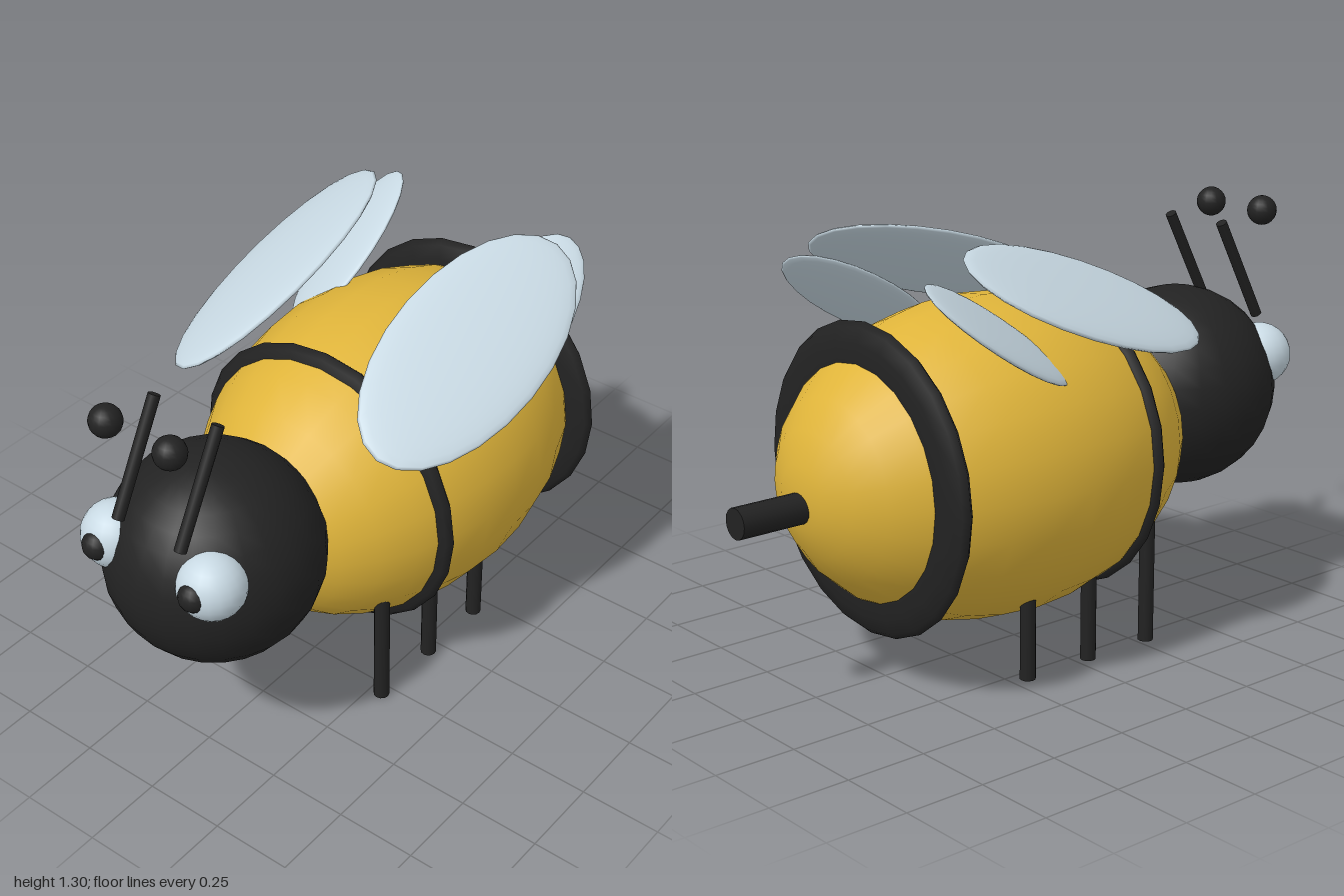
import * as THREE from 'three';

const mat = (name, color) => {
  const m = new THREE.MeshStandardMaterial({ color });
  m.name = name;
  return m;
};

export function createModel() {
  const root = new THREE.Group();
  root.name = 'bee';
  const yellow = mat('honeyYellow', 0xdfb43a);
  const black = mat('softBlack', 0x222222);
  const pale = mat('paleBlue', 0xc8d9e3);

  const add = (name, geometry, material, x, y, z) => {
    const mesh = new THREE.Mesh(geometry, material);
    mesh.name = name;
    mesh.position.set(x, y, z);
    root.add(mesh);
    return mesh;
  };

  // Body: stretched sphere with its poles along x
  const bodyGeo = new THREE.SphereGeometry(1, 24, 16).rotateZ(Math.PI / 2).scale(0.68, 0.485, 0.485);
  add('body', bodyGeo, yellow, 0.115, 0.61, 0);

  // Stripes: rings flattened along the body
  const stripeGeo = new THREE.TorusGeometry(0.345, 0.12, 12, 24).scale(1, 1, 0.29).rotateY(Math.PI / 2);
  for (const x of [-0.177, 0.548]) add('stripe', stripeGeo, black, x, 0.613, 0);

  // Head and stinger
  add('head', new THREE.SphereGeometry(0.32, 24, 16), black, -0.68, 0.69, 0);
  const stingerGeo = new THREE.CylinderGeometry(0.046, 0.046, 0.26, 16).rotateZ(Math.PI / 2);
  add('stinger', stingerGeo, black, 0.87, 0.58, 0);

  const eyeGeo = new THREE.SphereGeometry(0.1, 20, 14);
  const pupilGeo = new THREE.SphereGeometry(0.045, 14, 10);
  const rodGeo = new THREE.CylinderGeometry(0.018, 0.018, 0.36, 10);
  const tipGeo = new THREE.SphereGeometry(0.047, 16, 12);
  const legGeo = new THREE.CylinderGeometry(0.024, 0.024, 0.4, 12);
  const wingGeo = new THREE.SphereGeometry(1, 24, 16);

  // Wing: thin ellipsoid, drooping outward then pitched up toward the tail
  const addWing = (name, side, center, size, pitch) => {
    const wing = add(name, wingGeo, pale, center[0], center[1], side * center[2]);
    wing.scale.set(...size);
    wing.rotation.set(side * 0.49, 0, pitch, 'ZYX');
  };

  // Mirrored parts
  for (const side of [-1, 1]) {
    add('eye', eyeGeo, pale, -0.883, 0.79, side * 0.175);
    add('pupil', pupilGeo, black, -0.955, 0.797, side * 0.175);
    add('antenna', rodGeo, black, -0.845, 1.06, side * 0.112).rotation.z = -0.5;
    add('antennaTip', tipGeo, black, -0.943, 1.238, side * 0.112);
    for (const x of [-0.285, -0.045, 0.195]) add('leg', legGeo, black, x, 0.2, side * 0.29);
    addWing('largeWing', side, [0.032, 1.127, 0.351], [0.449, 0.03, 0.223], 0.305);
    addWing('smallWing', side, [0.33, 1.06, 0.32], [0.294, 0.022, 0.141], 0.555);
  }
  return root;
}
